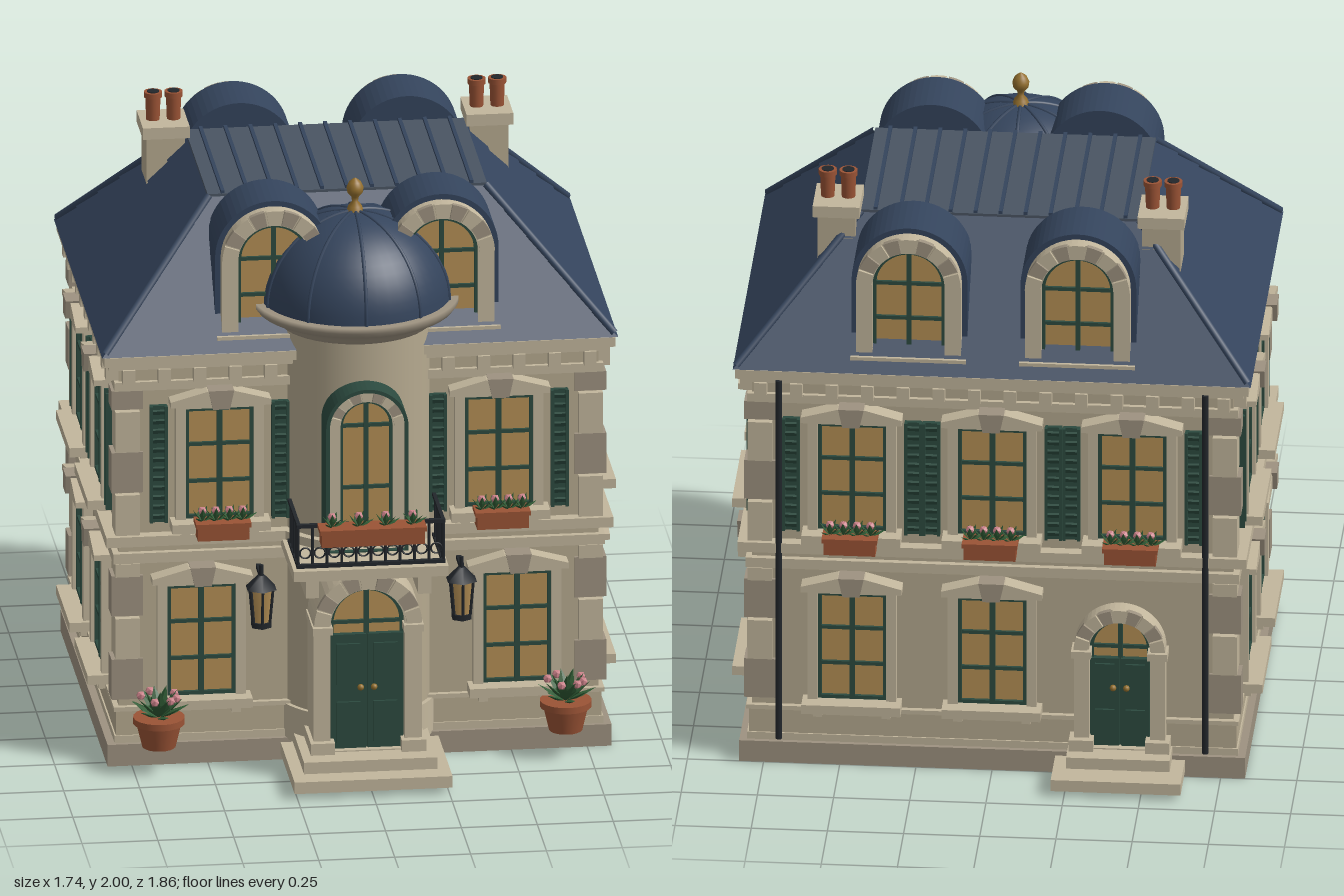
import * as THREE from 'three';

const mat = (color, extra = {}) => new THREE.MeshStandardMaterial({ color, ...extra });
const M = {
  wall: mat(0xb5a98f), trim: mat(0xc2b69c), quoin: mat(0x9d9280), slate: mat(0x34445c), lead: mat(0x4a5563),
  glass: mat(0xb48f55), green: mat(0x2c4a3f), iron: mat(0x22262b), clay: mat(0x9a5335), brass: mat(0x94702f),
  leaf: mat(0x2f5a34, { flatShading: true }), pink: mat(0xc98088, { flatShading: true }),
};

function add(parent, name, geo, material, x = 0, y = 0, z = 0) {
  const m = new THREE.Mesh(geo, material);
  m.name = name;
  m.position.set(x, y, z);
  parent.add(m);
  return m;
}
function group(parent, name, x = 0, y = 0, z = 0, ry = 0) {
  const g = new THREE.Group();
  g.name = name;
  g.position.set(x, y, z);
  g.rotation.y = ry;
  parent.add(g);
  return g;
}
// box given by its lower and upper limits
const blk = (p, name, m, x0, x1, y0, y1, z0, z1) =>
  add(p, name, new THREE.BoxGeometry(x1 - x0, y1 - y0, z1 - z0), m, (x0 + x1) / 2, (y0 + y1) / 2, (z0 + z1) / 2);
const cyl = (p, name, m, r0, r1, h, x, y, z, n = 16) =>
  add(p, name, new THREE.CylinderGeometry(r1, r0, h, n), m, x, y, z);
const extrude = (p, name, m, shape, z0, z1) =>
  add(p, name, new THREE.ExtrudeGeometry(shape, { depth: z1 - z0, bevelEnabled: false, curveSegments: 14 }), m, 0, 0, z0);

function archPath(P, r, y0, ys) {
  const s = new P();
  s.moveTo(-r, y0);
  s.lineTo(r, y0);
  s.lineTo(r, ys);
  s.absarc(0, ys, r, 0, Math.PI, false);
  s.lineTo(-r, y0);
  return s;
}
function archRing(p, name, m, ro, ri, y0, ys, z0, z1) {
  const s = archPath(THREE.Shape, ro, y0, ys);
  s.holes.push(archPath(THREE.Path, ri, y0 + 0.004, ys));
  extrude(p, name, m, s, z0, z1);
}
// wedge stones around an arch
function voussoirs(p, ro, ri, ys, z0, z1, n = 9) {
  for (let i = 0; i < n; i++) {
    const a0 = Math.PI * (i + 0.06) / n, a1 = Math.PI * (i + 0.94) / n, s = new THREE.Shape();
    s.absarc(0, ys, ro, a0, a1, false);
    s.absarc(0, ys, ri, a1, a0, true);
    extrude(p, 'archStone', i % 2 ? M.quoin : M.trim, s, z0, z1);
  }
}
// arched glazing with bars
function archGlass(p, r, y0, ys, z) {
  extrude(p, 'archGlass', M.glass, archPath(THREE.Shape, r, y0, ys), z - 0.02, z);
  archRing(p, 'archSash', M.green, r, r - 0.013, y0, ys, z, z + 0.012);
  blk(p, 'glazingBar', M.green, -0.008, 0.008, y0, ys + r - 0.005, z, z + 0.012);
  for (const t of [0.5, 1]) blk(p, 'glazingBar', M.green, -r, r, y0 + (ys - y0) * t - 0.006, y0 + (ys - y0) * t + 0.006, z, z + 0.01);
}

function plant(p, x, y, z, r, n, blooms) {
  const g = group(p, 'plant', x, y, z);
  for (let i = 0; i < n; i++) {
    const a = i * 2.4, tilt = 0.35 + 0.95 * (i / n), arm = group(g, 'leafArm', 0, 0, 0, a);
    const leaf = add(arm, 'leaf', new THREE.OctahedronGeometry(1), M.leaf, 0, r * 0.55 * Math.cos(tilt), r * 0.55 * Math.sin(tilt));
    leaf.scale.set(r * 0.2, r * 0.55, r * 0.06);
    leaf.rotation.x = tilt;
  }
  for (let i = 0; i < blooms; i++) {
    const a = i * 2.4 + 1, d = blooms > 1 ? r * 0.6 : 0;
    add(g, 'flower', new THREE.IcosahedronGeometry(blooms > 1 ? r * 0.16 : r * 0.3), M.pink, d * Math.cos(a), r * 0.75, d * Math.sin(a));
  }
}
function flowerBox(p, hw, y, z) {
  blk(p, 'flowerBox', M.clay, -hw, hw, y, y + 0.05, z - 0.035, z + 0.035);
  blk(p, 'flowerBoxRim', M.clay, -hw - 0.006, hw + 0.006, y + 0.045, y + 0.06, z - 0.041, z + 0.041);
  for (let i = 0; i < 4; i++) plant(p, hw * (-0.78 + 0.52 * i), y + 0.055, z, 0.052, 7, 1);
}

// rectangular window with sill, hood, keystone, optional shutters and flower box
function windowUnit(face, x, y, w, upper, boxed) {
  const g = group(face, upper ? 'upperWindow' : 'lowerWindow', x, y, 0), h = 0.385, a = w / 2, b = a + 0.033;
  blk(g, 'glass', M.glass, -a, a, 0, h, -0.02, 0.008);
  for (const s of [-1, 1]) {
    blk(g, 'jamb', M.trim, s * (a + b) / 2 - 0.0165, s * (a + b) / 2 + 0.0165, 0, h + 0.03, -0.01, 0.032);
    blk(g, 'sash', M.green, s * (a - 0.006) - 0.006, s * (a - 0.006) + 0.006, 0, h, 0, 0.02);
    blk(g, 'sash', M.green, -a, a, h / 2 + s * (h / 2 - 0.006) - 0.006, h / 2 + s * (h / 2 - 0.006) + 0.006, 0, 0.02);
    blk(g, 'glazingBar', M.green, -a, a, h / 2 + s * h / 6 - 0.006, h / 2 + s * h / 6 + 0.006, 0, 0.018);
    blk(g, 'sillBracket', M.trim, s * a - 0.015, s * a + 0.015, -0.06, -0.03, -0.01, 0.04);
  }
  blk(g, 'glazingBar', M.green, -0.009, 0.009, 0, h, 0, 0.022);
  blk(g, 'lintel', M.trim, -b, b, h, h + 0.035, -0.01, 0.032);
  blk(g, 'sill', M.trim, -a - 0.05, a + 0.05, -0.032, 0, -0.01, 0.08);
  const hood = new THREE.Shape([[-b - 0.02, 0.015], [b + 0.02, 0.015], [b + 0.02, 0.035], [a * 0.4, 0.068], [-a * 0.4, 0.068], [-b - 0.02, 0.035]]
    .map(([u, v]) => new THREE.Vector2(u, h + v)));
  extrude(g, 'hood', M.trim, hood, -0.01, 0.06);
  const key = new THREE.Shape([[-0.028, 0.01], [0.028, 0.01], [0.042, 0.075], [-0.042, 0.075]].map(([u, v]) => new THREE.Vector2(u, h + v)));
  extrude(g, 'keystone', M.quoin, key, 0, 0.075);
  if (upper) for (const s of [-1, 1]) {
    const c = group(g, 'shutter', s * (b + 0.055), -0.01, 0);
    blk(c, 'shutterPanel', M.green, -0.028, 0.028, 0, 0.405, 0, 0.016);
    for (const e of [-1, 1]) blk(c, 'shutterStile', M.green, e * 0.024 - 0.005, e * 0.024 + 0.005, 0, 0.405, 0.01, 0.028);
    for (let i = 0; i < 12; i++) blk(c, 'slat', M.green, -0.022, 0.022, 0.014 + i * 0.033, 0.028 + i * 0.033, 0.01, 0.022).rotation.x = 0.4;
  }
  if (boxed) flowerBox(g, 0.085, -0.04, 0.1);
}

// barrel-roofed dormer
function dormer(face, x) {
  const g = group(face, 'dormer', x, 0, -0.045);
  extrude(g, 'dormerRoof', M.slate, archPath(THREE.Shape, 0.19, 1.47, 1.73), -0.21, 0);
  archRing(g, 'dormerFrame', M.trim, 0.172, 0.118, 1.47, 1.73, 0, 0.04);
  voussoirs(g, 0.172, 0.122, 1.73, 0.03, 0.05);
  archGlass(g, 0.12, 1.48, 1.73, 0.012);
  blk(g, 'dormerSill', M.trim, -0.19, 0.19, 1.44, 1.475, -0.06, 0.06);
}

// arched double door with its stone surround
function archDoor(g, ro, ri, y0, ys, zb, zf) {
  archRing(g, 'doorSurround', M.trim, ro, ri, y0, ys, zb, zf - 0.012);
  voussoirs(g, ro, ri + 0.005, ys, zf - 0.02, zf);
  archGlass(g, ri, y0, ys, zf - 0.055);
  for (const s of [-1, 1]) {
    blk(g, 'doorLeaf', M.green, s * ri / 2 - ri / 2 + 0.003, s * ri / 2 + ri / 2 - 0.003, y0, ys - 0.04, zb, zf - 0.035);
    for (const t of [0.06, 0.52]) blk(g, 'doorPanel', M.green, s * ri / 2 - ri * 0.32, s * ri / 2 + ri * 0.32, y0 + t * (ys - y0), y0 + (t + 0.32) * (ys - y0), zf - 0.036, zf - 0.026);
    add(g, 'knob', new THREE.SphereGeometry(0.011, 10, 8), M.brass, s * 0.022, y0 + 0.22, zf - 0.02);
    blk(g, 'doorPlinth', M.trim, s * (ro + ri) / 2 - 0.04, s * (ro + ri) / 2 + 0.04, y0, y0 + 0.04, zb, zf + 0.012);
    blk(g, 'impost', M.trim, s * (ro + ri) / 2 - 0.033, s * (ro + ri) / 2 + 0.033, ys - 0.025, ys, zb, zf + 0.008);
  }
}

// hipped roof with overlapping slate courses
function roofGeometry() {
  const n = 6, pos = [], rings = [];
  const ring = (t, o) => [[1, 1], [1, -1], [-1, -1], [-1, 1]].map(([a, b]) => [a * (0.84 - 0.385 * t + o), 1.43 + 0.42 * t, b * (0.652 - 0.347 * t + o)]);
  for (let i = 0; i < n; i++) rings.push(ring(i / n, 0.01), ring((i + 1) / n, 0));
  const quad = (a, b, c, d) => pos.push(...a, ...b, ...c, ...a, ...c, ...d);
  for (let i = 0; i + 1 < rings.length; i++) for (let k = 0; k < 4; k++) {
    const j = (k + 1) % 4;
    quad(rings[i][k], rings[i][j], rings[i + 1][j], rings[i + 1][k]);
  }
  quad(...rings[0].slice().reverse());
  quad(...rings[rings.length - 1]);
  const g = new THREE.BufferGeometry();
  g.setAttribute('position', new THREE.Float32BufferAttribute(pos, 3));
  g.computeVertexNormals();
  return g;
}

export function createModel() {
  const root = new THREE.Group();
  root.name = 'townHouse';
  const house = group(root, 'house', 0, 0, -0.105);
  // body and horizontal courses: half width, half depth, bottom, top
  const slab = (name, m, hx, hz, y0, y1) => blk(house, name, m, -hx, hx, y0, y1, -hz, hz);
  slab('base', M.quoin, 0.83, 0.645, 0, 0.075);
  slab('walls', M.wall, 0.79, 0.615, 0.07, 1.42);
  slab('plinth', M.trim, 0.805, 0.63, 0.075, 0.1);
  slab('plinthCourse', M.wall, 0.8, 0.625, 0.1, 0.185);
  slab('plinthCap', M.trim, 0.808, 0.633, 0.185, 0.2);
  slab('beltLower', M.trim, 0.81, 0.635, 0.7, 0.735);
  slab('beltUpper', M.trim, 0.835, 0.655, 0.765, 0.8);
  slab('frieze', M.trim, 0.805, 0.63, 1.3, 1.33);
  slab('corniceLower', M.trim, 0.825, 0.645, 1.378, 1.4);
  slab('cornice', M.trim, 0.842, 0.66, 1.396, 1.428);
  // corner stones
  for (const sx of [-1, 1]) for (const sz of [-1, 1])
    for (let i = 0; i < 8; i++) {
      const k = i % 2, y = [0.225, 0.37, 0.515, 0.8, 0.945, 1.09, 1.235, 0.655][i], h = [0.14, 0.14, 0.14, 0.14, 0.14, 0.14, 0.065, 0.045][i];
      blk(house, 'cornerStone', k ? M.trim : M.quoin, sx * 0.763 - (k ? 0.04 : 0.052), sx * 0.763 + (k ? 0.04 : 0.052), y, y + h, sz * 0.587 - (k ? 0.052 : 0.04), sz * 0.587 + (k ? 0.052 : 0.04));
    }

  // facades: angle, distance, half length
  const [front, right, back, left] = [[0, 0.615, 0.79], [1, 0.79, 0.615], [2, 0.615, 0.79], [3, 0.79, 0.615]].map(([q, d, half], i) => {
    const a = q * Math.PI / 2, f = group(house, ['frontFacade', 'eastFacade', 'backFacade', 'westFacade'][i], Math.sin(a) * d, 0, Math.cos(a) * d, a);
    const n = Math.round(half * 2 / 0.125);
    for (let k = 0; k <= n; k++) {
      const u = (half - 0.03) * (2 * k / n - 1);
      blk(f, 'corniceBracket', M.trim, u - 0.02, u + 0.02, 1.33, 1.38, 0, 0.04);
    }
    return f;
  });
  for (const s of [-1, 1]) {
    windowUnit(front, s * 0.52, 0.235, 0.225, false, false);
    windowUnit(front, s * 0.46, 0.85, 0.225, true, true);
    for (const f of [left, right]) for (const [y, up] of [[0.24, false], [0.85, true]]) windowUnit(f, s * 0.25, y, 0.265, up, false);
    for (const f of [front, back]) dormer(f, s * 0.277);
    // rainwater pipes
    cyl(back, 'downpipe', M.iron, 0.011, 0.011, 1.3, s * 0.7, 0.74, 0.035, 8);
  }
  for (const x of [-0.46, 0, 0.46]) {
    windowUnit(back, x, 0.85, 0.225, true, true);
    if (x < 0.1) windowUnit(back, x, 0.235, 0.225, false, false);
  }
  // back door and steps
  const backDoor = group(back, 'backDoor', 0.42, 0, 0);
  archDoor(backDoor, 0.15, 0.1, 0.1, 0.46, -0.02, 0.065);
  blk(backDoor, 'lowerStep', M.trim, -0.213, 0.213, 0.02, 0.06, 0, 0.215);
  blk(backDoor, 'upperStep', M.trim, -0.17, 0.17, 0.06, 0.1, 0, 0.125);

  // main roof, hips and seamed flat top
  add(house, 'slateRoof', roofGeometry(), M.slate);
  for (const sx of [-1, 1]) for (const sz of [-1, 1])
    add(house, 'hip', new THREE.TubeGeometry(new THREE.LineCurve3(new THREE.Vector3(sx * 0.84, 1.44, sz * 0.652), new THREE.Vector3(sx * 0.457, 1.85, sz * 0.307)), 1, 0.013, 8), M.slate);
  slab('flatRoof', M.lead, 0.46, 0.308, 1.84, 1.856);
  for (let i = -5; i <= 5; i++) blk(house, 'roofSeam', M.slate, i * 0.082 - 0.006, i * 0.082 + 0.006, 1.85, 1.866, -0.305, 0.305);

  // chimneys
  for (const s of [-1, 1]) {
    const c = group(root, 'chimney', s * 0.533, 0, -0.405);
    blk(c, 'chimneyStack', M.wall, -0.063, 0.063, 1.55, 1.86, -0.067, 0.067);
    blk(c, 'chimneyCap', M.trim, -0.077, 0.077, 1.86, 1.9, -0.087, 0.087);
    for (const e of [-1, 1]) {
      cyl(c, 'chimneyPot', M.clay, 0.022, 0.026, 0.1, e * 0.034, 1.945, 0);
      cyl(c, 'potRim', M.clay, 0.03, 0.03, 0.018, e * 0.034, 1.987, 0);
      cyl(c, 'potMouth', M.iron, 0.02, 0.02, 0.005, e * 0.034, 1.996, 0);
    }
  }

  // round tower with ribbed dome
  const tower = group(root, 'tower', 0, 0, 0.415);
  const R = (name, m, r, y0, y1) => cyl(tower, name, m, r, r, y1 - y0, 0, (y0 + y1) / 2, 0, 48);
  R('towerWall', M.wall, 0.253, 0.07, 1.53);
  R('towerPlinth', M.trim, 0.268, 0.07, 0.19);
  R('towerBeltLower', M.trim, 0.265, 0.7, 0.735);
  R('towerBelt', M.trim, 0.28, 0.765, 0.8);
  const lathe = (name, m, pts) => add(tower, name, new THREE.LatheGeometry(pts.map(([r, y]) => new THREE.Vector2(r, y)), 48), m);
  lathe('towerCornice', M.quoin, [[0.25, 1.48], [0.27, 1.5], [0.28, 1.52], [0.325, 1.53], [0.34, 1.55], [0.34, 1.568], [0, 1.57]]);
  const dome = [];
  for (let i = 0; i <= 14; i++) dome.push([0.315 * Math.cos(i * Math.PI / 28), 1.565 + 0.295 * Math.sin(i * Math.PI / 28)]);
  lathe('dome', M.slate, dome);
  for (let i = 0; i < 10; i++) {
    const a = i * Math.PI / 5;
    const pts = dome.map(([r, y]) => new THREE.Vector3(r * Math.sin(a), y, r * Math.cos(a)));
    add(tower, 'domeRib', new THREE.TubeGeometry(new THREE.CatmullRomCurve3(pts), 20, 0.006, 6), M.slate);
  }
  lathe('finial', M.brass, [[0.03, 1.85], [0.022, 1.875], [0.01, 1.89], [0.012, 1.905], [0.025, 1.92], [0.028, 1.938], [0.02, 1.957], [0.008, 1.967], [0, 1.972]]);

  // entrance, steps and balcony door
  const entry = group(root, 'entrance');
  archDoor(entry, 0.178, 0.122, 0.1, 0.54, 0.58, 0.775);
  blk(entry, 'lowerStep', M.trim, -0.26, 0.26, 0.02, 0.06, 0.54, 0.925);
  blk(entry, 'upperStep', M.trim, -0.22, 0.22, 0.06, 0.1, 0.54, 0.85);
  const bay = group(root, 'balconyDoor');
  archRing(bay, 'balconyDoorSurround', M.trim, 0.125, 0.086, 0.79, 1.22, 0.6, 0.735);
  archRing(bay, 'balconyDoorHood', M.green, 0.136, 0.124, 0.79, 1.22, 0.6, 0.755);
  voussoirs(bay, 0.124, 0.09, 1.22, 0.72, 0.747);
  archGlass(bay, 0.09, 0.79, 1.22, 0.71);

  // balcony with iron railing
  const balcony = group(root, 'balcony');
  blk(balcony, 'balconyBed', M.trim, -0.2, 0.2, 0.715, 0.737, 0.55, 0.81);
  blk(balcony, 'balconySlab', M.trim, -0.255, 0.255, 0.735, 0.77, 0.5, 0.86);
  for (const s of [-1, 1]) blk(balcony, 'balconyCorbel', M.trim, s * 0.185 - 0.022, s * 0.185 + 0.022, 0.65, 0.72, 0.58, 0.79);
  for (const y of [0.785, 0.925]) {
    blk(balcony, 'frontRail', M.iron, -0.245, 0.245, y - 0.006, y + 0.006, 0.84, 0.856);
    for (const s of [-1, 1]) blk(balcony, 'sideRail', M.iron, s * 0.238 - 0.006, s * 0.238 + 0.006, y - 0.006, y + 0.006, 0.6, 0.856);
  }
  for (let i = 0; i <= 10; i++) {
    cyl(balcony, 'baluster', M.iron, 0.005, 0.005, 0.15, -0.24 + i * 0.048, 0.853, 0.848, 6);
    if (i < 10) add(balcony, 'railRing', new THREE.TorusGeometry(0.018, 0.003, 6, 14), M.iron, -0.216 + i * 0.048, 0.83, 0.848);
    if (i < 5) for (const s of [-1, 1]) cyl(balcony, 'baluster', M.iron, 0.005, 0.005, 0.15, s * 0.238, 0.853, 0.64 + i * 0.048, 6);
  }
  flowerBox(balcony, 0.17, 0.872, 0.885);

  // wall lanterns and potted plants
  for (const s of [-1, 1]) {
    const l = group(root, 'lantern', s * 0.33, 0, 0.59);
    blk(l, 'lanternBracket', M.iron, -0.008, 0.008, 0.66, 0.675, -0.09, 0);
    cyl(l, 'lanternHook', M.iron, 0.007, 0.007, 0.05, 0, 0.675, 0, 8);
    cyl(l, 'lanternRoof', M.iron, 0.055, 0.012, 0.045, 0, 0.642, 0, 6);
    cyl(l, 'lanternGlass', M.glass, 0.028, 0.04, 0.115, 0, 0.56, 0, 6);
    cyl(l, 'lanternFoot', M.iron, 0.036, 0.036, 0.018, 0, 0.495, 0, 6);
    for (let i = 0; i < 6; i++) {
      const a = i * Math.PI / 3;
      const pts = [[0.03, 0.495], [0.042, 0.622]].map(([r, y]) => new THREE.Vector3(r * Math.sin(a), y, r * Math.cos(a)));
      add(l, 'lanternBar', new THREE.TubeGeometry(new THREE.LineCurve3(...pts), 1, 0.005, 5), M.iron);
    }
    const p = group(root, 'pottedPlant', s * 0.67, 0, 0.615);
    cyl(p, 'pot', M.clay, 0.055, 0.075, 0.085, 0, 0.135, 0, 20);
    cyl(p, 'potRim', M.clay, 0.085, 0.085, 0.022, 0, 0.185, 0, 20);
    plant(p, 0, 0.19, 0, 0.1, 22, 6);
  }
  return root;
}
